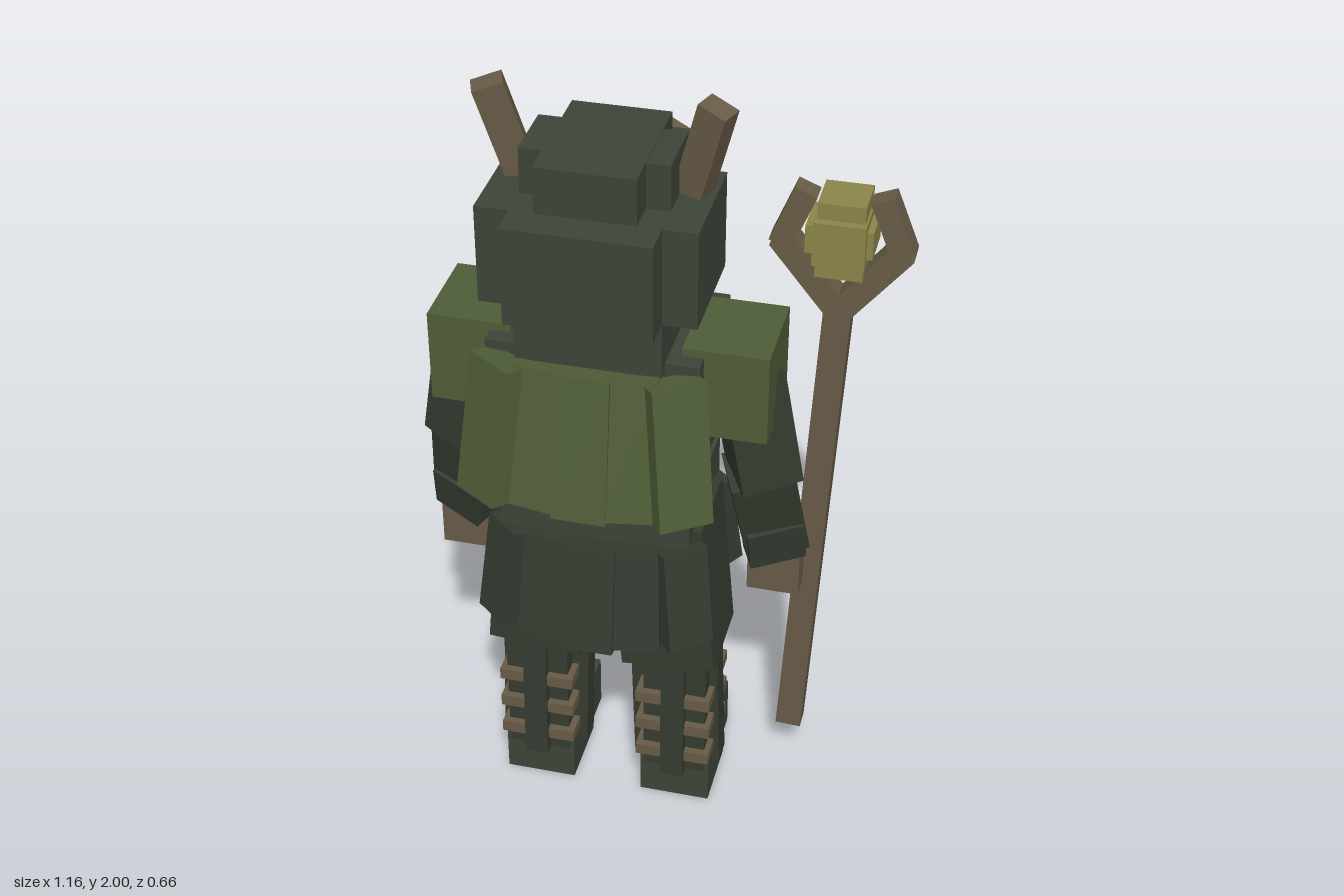
import * as THREE from 'three';

const paint = (name, color) => {
  const m = new THREE.MeshStandardMaterial({ color });
  m.name = name;
  return m;
};

export function createModel() {
  const hood = paint('hood green grey', 0x3d4438);
  const cloth = paint('dark cloth', 0x343b30);
  const moss = paint('moss green', 0x4f5d37);
  const wood = paint('wood brown', 0x685b46);
  const glow = paint('olive yellow', 0x8a8548);

  const model = new THREE.Group();
  model.name = 'staffBearer';
  // The figure stands to one side, the staff balances it on the other
  const body = new THREE.Group();
  body.name = 'figure';
  body.position.x = -0.1;
  model.add(body);

  const add = (parent, name, mat, w, h, d) => {
    const mesh = new THREE.Mesh(new THREE.BoxGeometry(w, h, d), mat);
    mesh.name = name;
    parent.add(mesh);
    return mesh;
  };
  // Box from its minimum and maximum corners
  const block = (parent, name, mat, x0, x1, y0, y1, z0, z1) => {
    const mesh = add(parent, name, mat, x1 - x0, y1 - y0, z1 - z0);
    mesh.position.set((x0 + x1) / 2, (y0 + y1) / 2, (z0 + z1) / 2);
  };
  // Slanted box running from a to b, turned by yaw about its own length
  const beam = (parent, name, mat, a, b, w, d, yaw = 0) => {
    const p = new THREE.Vector3(...a), q = new THREE.Vector3(...b);
    const dir = q.clone().sub(p);
    const mesh = add(parent, name, mat, w, dir.length(), d);
    mesh.position.copy(p).add(q).multiplyScalar(0.5);
    if (dir.y < 0) dir.negate();
    mesh.quaternion.setFromUnitVectors(new THREE.Vector3(0, 1, 0), dir.normalize());
    mesh.rotateY(yaw);
  };

  // Hooded head with cross-shaped crown
  block(body, 'headWide', hood, -0.25, 0.25, 1.52, 1.76, -0.09, 0.19);
  block(body, 'headLong', hood, -0.17, 0.17, 1.52, 1.76, -0.2, 0.27);
  block(body, 'crownWide', hood, -0.17, 0.17, 1.76, 1.87, -0.05, 0.11);
  block(body, 'crownLong', hood, -0.115, 0.115, 1.76, 1.872, -0.13, 0.19);
  block(body, 'neck', hood, -0.17, 0.17, 1.38, 1.52, -0.13, 0.19);
  block(body, 'maskBacking', hood, -0.17, 0.17, 1.46, 1.77, -0.25, -0.2);

  // Plank mask on the -z side
  beam(body, 'maskPlank', wood, [0, 1.45, -0.295], [0, 1.76, -0.275], 0.08, 0.05);
  block(body, 'maskChin', wood, -0.12, 0.12, 1.44, 1.5, -0.27, -0.2);
  for (const s of [-1, 1]) {
    beam(body, 'maskSidePlank', wood, [s * 0.09, 1.45, -0.285], [s * 0.09, 1.76, -0.265], 0.1, 0.05, -s * 0.65);
    beam(body, 'maskEye', cloth, [s * 0.1, 1.615, -0.3], [s * 0.1, 1.655, -0.297], 0.03, 0.02, -s * 0.65);
    beam(body, 'horn', wood, [s * 0.19, 1.74, 0.005], [s * 0.256, 1.985, 0.042], 0.072, 0.056, -s * 0.35);
  }

  // Torso and waist
  block(body, 'chest', hood, -0.25, 0.25, 1.2, 1.4, -0.16, 0.16);
  block(body, 'chestFront', hood, -0.2, 0.2, 1.2, 1.36, -0.19, -0.16);
  block(body, 'belly', hood, -0.21, 0.21, 0.96, 1.2, -0.16, 0.13);
  block(body, 'belt', hood, -0.22, 0.22, 0.99, 1.04, -0.18, 0.14);
  block(body, 'waist', hood, -0.23, 0.23, 0.86, 0.99, -0.17, 0.16);
  block(body, 'backPad', hood, -0.17, 0.17, 1.15, 1.29, 0.13, 0.2);
  for (const y of [1.12, 1.2, 1.28])
    block(body, 'chestButton', wood, -0.035, 0.035, y - 0.022, y + 0.022, -0.22, -0.15);

  // Cape strips, alternately set in and out
  for (const u of [-2, -1, 0, 1, 2]) {
    const k = Math.abs(u);
    beam(body, 'capeStrip', moss, [u * 0.1, 1.38, [0.21, 0.195, 0.2][k]],
      [u * 0.116, 1.02 + k * 0.008, [0.262, 0.25, 0.253][k]],
      0.13, 0.075, [0, 0.14, 0.6][k] * Math.sign(u));
  }

  // Skirt panels around the hips, back (+1) and front (-1)
  for (const f of [-1, 1]) for (const u of [-2, -1, 0, 1, 2]) {
    const k = Math.abs(u);
    beam(body, 'skirtPanel', cloth, [u * 0.103, 0.88, f * [0.19, 0.175, 0.15][k]],
      [u * 0.116, 0.6 + k * 0.01, f * [0.232, 0.213, 0.185][k]],
      [0.13, 0.115, 0.115][k], 0.06, [0, 0.15, 0.7][k] * Math.sign(u) * f);
  }

  for (const s of [-1, 1]) {
    const side = new THREE.Group();
    side.name = s > 0 ? 'leftLimbs' : 'rightLimbs';
    body.add(side);
    // Block given from inner to outer distance, mirrored by side
    const lim = (name, mat, i, o, ...r) =>
      block(side, name, mat, Math.min(s * i, s * o), Math.max(s * i, s * o), ...r);

    // Thigh, shin with narrow panels, and boot
    beam(side, 'thigh', cloth, [s * 0.135, 0.9, 0.01], [s * 0.172, 0.475, 0.01], 0.235, 0.23);
    lim('shin', cloth, 0.1, 0.26, 0.1, 0.5, -0.095, 0.085);
    beam(side, 'shinOuterPanel', cloth, [s * 0.258, 0.47, 0.005], [s * 0.27, 0.1, 0.005], 0.04, 0.065);
    beam(side, 'shinInnerPanel', cloth, [s * 0.08, 0.47, 0.005], [s * 0.09, 0.1, 0.005], 0.05, 0.065);
    beam(side, 'calfPanel', cloth, [s * 0.18, 0.47, 0.085], [s * 0.18, 0.1, 0.097], 0.06, 0.04);
    beam(side, 'shinFrontPanel', cloth, [s * 0.18, 0.47, -0.09], [s * 0.18, 0.1, -0.1], 0.06, 0.04);
    lim('heel', hood, 0.09, 0.27, 0, 0.14, -0.11, 0.08);
    lim('toe', hood, 0.1, 0.255, 0, 0.14, -0.23, -0.11);
    // Wraps showing at the four corners of the shin
    for (const y of [0.16, 0.25, 0.34])
      for (const x of [0.117, 0.24])
        for (const z of [-0.066, 0.066])
          lim('legWrap', wood, x - 0.034, x + 0.034, y - 0.016, y + 0.016, z - 0.043, z + 0.038);

    // Shoulder pad with ragged lower edge
    lim('shoulderPad', moss, 0.2, 0.4, 1.28, 1.42, -0.11, 0.12);
    lim('padFringe', moss, 0.22, 0.4, 1.19, 1.28, 0.05, 0.12);
    lim('padFringe', moss, 0.36, 0.4, 1.23, 1.28, -0.06, 0.05);
    lim('padFringe', moss, 0.34, 0.4, 1.2, 1.28, -0.11, -0.06);
    lim('padFringe', moss, 0.22, 0.28, 1.22, 1.28, -0.11, -0.06);

    // Arm
    beam(side, 'upperArm', cloth, [s * 0.32, 1.31, -0.01], [s * 0.372, 1.0, -0.025], 0.15, 0.14, s * 0.5);
    beam(side, 'forearm', cloth, [s * 0.355, 1.02, -0.025], [s * 0.385, 0.76, -0.1], 0.155, 0.13, s * 0.4);
    beam(side, 'cuff', cloth, [s * 0.39, 0.85, -0.04], [s * 0.395, 0.74, -0.065], 0.14, 0.08, s * 0.45);
    // Hand with three fingers
    lim('hand', wood, 0.33, 0.46, 0.62, 0.77, -0.17, -0.055);
    for (const x of [0.351, 0.395, 0.441])
      lim('finger', wood, x - 0.019, x + 0.019, 0.63, 0.71, -0.2, -0.13);
  }

  // Staff with forked head and glowing core
  const staff = new THREE.Group();
  staff.name = 'staff';
  staff.position.z = -0.145;
  model.add(staff);
  beam(staff, 'staffShaft', wood, [0.34, 0.125, 0], [0.41, 1.45, 0], 0.065, 0.055);
  for (const s of [-1, 1]) {
    const x = 0.41;
    beam(staff, 'forkLower', wood, [x + s * 0.005, 1.42, 0], [x + s * 0.142, 1.59, 0], 0.06, 0.055);
    beam(staff, 'forkUpper', wood, [x + s * 0.142, 1.575, 0], [x + s * 0.086, 1.715, 0], 0.055, 0.053);
  }
  block(staff, 'coreTall', glow, 0.355, 0.465, 1.52, 1.71, -0.055, 0.055);
  block(staff, 'coreWide', glow, 0.33, 0.485, 1.58, 1.65, -0.055, 0.055);
  block(staff, 'coreDeep', glow, 0.35, 0.47, 1.56, 1.67, -0.075, 0.075);

  return model;
}
